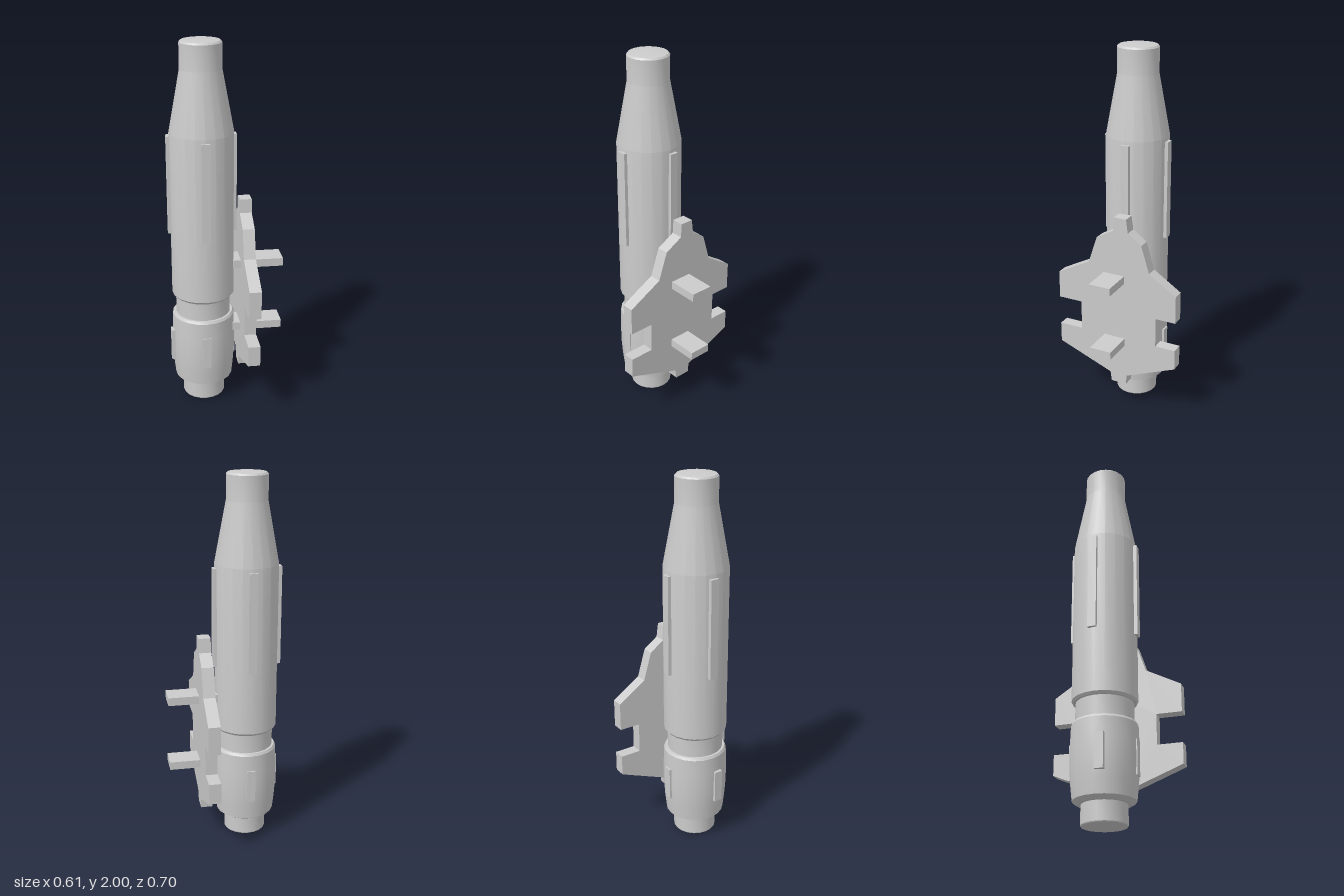
import * as THREE from 'three';
import { toCreasedNormals } from 'three/addons/utils/BufferGeometryUtils.js';

const material = new THREE.MeshStandardMaterial({ color: 0xcccccc });

function addMesh(parent, name, geometry) {
  const mesh = new THREE.Mesh(geometry, material);
  mesh.name = name;
  parent.add(mesh);
  return mesh;
}

function shapeFrom(points) {
  return new THREE.Shape(points.map(([x, y]) => new THREE.Vector2(x, y)));
}

// Raised strip with slanted sides, standing on the body's +z face
function stripGeometry(bottom, top, outer, width = 0.05) {
  const w = width / 2, inner = 0.14;
  const section = shapeFrom([[-w, -inner], [w, -inner], [w * 0.9, -outer], [-w * 0.9, -outer]].reverse());
  const geometry = new THREE.ExtrudeGeometry(section, { depth: top - bottom, bevelEnabled: false });
  return geometry.rotateX(-Math.PI / 2).translate(0, bottom, 0);
}

export function createModel() {
  const model = new THREE.Group();
  model.name = 'cylinderWithBackPlate';

  // Turned body: foot, lower barrel, neck groove, upper barrel, tapered nose
  const body = new THREE.Group();
  body.name = 'body';
  body.position.set(-0.123, 0, 0);
  model.add(body);

  const profile = [
    [0, 0], [0.112, 0.007], [0.115, 0.012], [0.115, 0.11], [0.13, 0.11], [0.157, 0.127],
    [0.165, 0.2], [0.172, 0.3], [0.171, 0.42], [0.168, 0.505], [0.16, 0.518],
    [0.148, 0.518], [0.148, 0.622], [0.158, 0.622], [0.168, 0.635],
    [0.168, 1.53], [0.108, 1.85], [0.108, 1.98], [0.1, 1.989], [0, 2],
  ].map(([r, y]) => new THREE.Vector2(r, y));
  addMesh(body, 'barrel', toCreasedNormals(new THREE.LatheGeometry(profile, 20), 0.35));

  // Four strips on each barrel: angle, sideways shift, outer radius of the lower one
  const sides = [
    ['front', 0, 0, 0, 0.173],
    ['left', Math.PI / 2, 0.012, 0.012, 0.173],
    ['back', Math.PI, 0, 0, 0.179],
    ['right', -Math.PI / 2, -0.012, 0.03, 0.182],
  ];
  for (const [side, angle, upperShift, lowerShift, lowerOuter] of sides) {
    const upper = stripGeometry(0.98, 1.51, 0.182).translate(upperShift, 0, 0);
    addMesh(body, side + 'UpperStrip', upper).rotation.y = angle;
    const lower = stripGeometry(0.24, 0.42, lowerOuter).translate(lowerShift, 0, 0);
    addMesh(body, side + 'LowerStrip', lower).rotation.y = angle;
  }

  // Notched plate beside the body, outlined in (-z, y), leaning very slightly
  const bracket = new THREE.Group();
  bracket.name = 'bracket';
  bracket.position.set(0.105, 0.62, 0);
  bracket.rotation.z = -0.007;
  model.add(bracket);

  const outline = shapeFrom([
    [-0.03, 0.165], [0.058, 0.165], [0.063, 0.22], [0.348, 0.34], [0.348, 0.452], [0.235, 0.452],
    [0.235, 0.617], [0.348, 0.617], [0.348, 0.77], [0.195, 0.87], [0.15, 1.02], [0.073, 1.075],
    [0.063, 1.15], [-0.008, 1.15], [-0.012, 1.075], [-0.11, 1.02], [-0.16, 0.87], [-0.348, 0.77],
    [-0.348, 0.617], [-0.213, 0.617], [-0.213, 0.452], [-0.348, 0.452], [-0.348, 0.34], [-0.037, 0.22],
  ]);
  const plate = new THREE.ExtrudeGeometry(outline, { depth: 0.064, bevelEnabled: false });
  plate.translate(0, -0.62, -0.032).rotateY(Math.PI / 2);
  addMesh(bracket, 'plate', plate);

  // Flat pegs running through the plate from the body outwards
  for (const [name, y] of [['upperPeg', 0.805], ['lowerPeg', 0.43]]) {
    const peg = new THREE.BoxGeometry(0.27, 0.044, 0.122);
    addMesh(bracket, name, peg).position.set(0.062, y - 0.62, 0.01);
  }
  return model;
}
